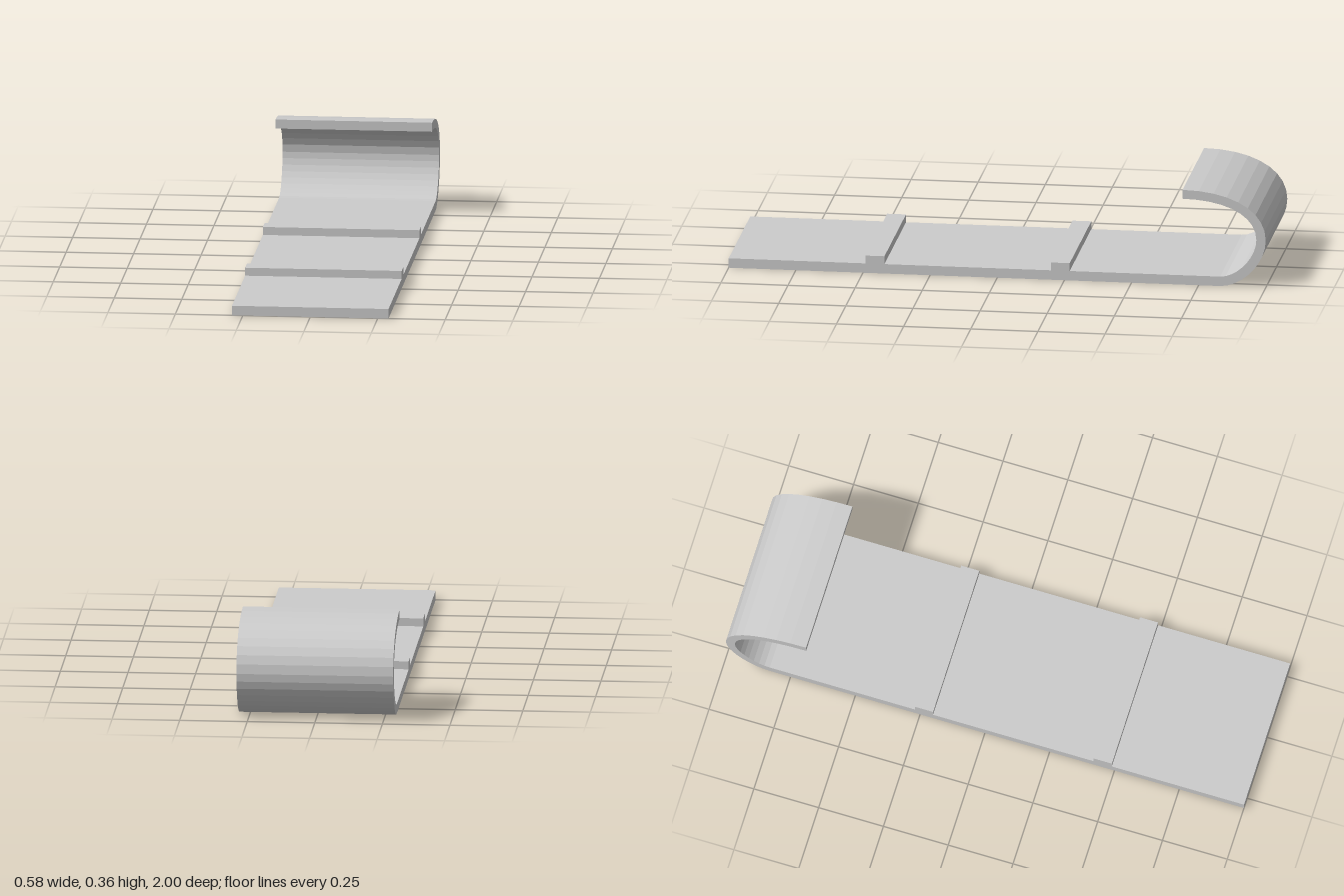
import * as THREE from 'three';

const WIDTH = 0.58;
const THICK = 0.036;

export function createModel() {
  const group = new THREE.Group();
  group.name = 'hookedPlate';
  const material = new THREE.MeshStandardMaterial({ color: 0xcccccc, flatShading: true });

  // Side profile, drawn with -z to the right and y up
  const profile = new THREE.Shape();
  profile.moveTo(-1, 0);
  profile.lineTo(0.83, 0);
  profile.bezierCurveTo(0.91, 0, 1, 0.09, 1, 0.18);
  profile.bezierCurveTo(1, 0.29, 0.88, 0.363, 0.69, 0.363);
  profile.lineTo(0.69, 0.329);
  profile.bezierCurveTo(0.86, 0.329, 0.965, 0.27, 0.965, 0.18);
  profile.bezierCurveTo(0.965, 0.11, 0.89, THICK, 0.83, THICK);
  profile.lineTo(-1, THICK);
  profile.closePath();

  // Flat plate with its curled end, extruded across the width
  const plateGeometry = new THREE.ExtrudeGeometry(profile, {
    depth: WIDTH, bevelEnabled: false, curveSegments: 9,
  });
  plateGeometry.translate(0, 0, -WIDTH / 2);
  plateGeometry.rotateY(Math.PI / 2);
  const plate = new THREE.Mesh(plateGeometry, material);
  plate.name = 'plateWithCurledEnd';
  group.add(plate);

  // Two raised cross ribs
  const ribHeight = 0.03;
  const ribGeometry = new THREE.BoxGeometry(WIDTH, ribHeight, 0.07);
  [['frontRib', 0.455], ['rearRib', -0.235]].forEach(([name, z]) => {
    const rib = new THREE.Mesh(ribGeometry, material);
    rib.name = name;
    rib.position.set(0, THICK + ribHeight / 2, z);
    group.add(rib);
  });

  return group;
}
